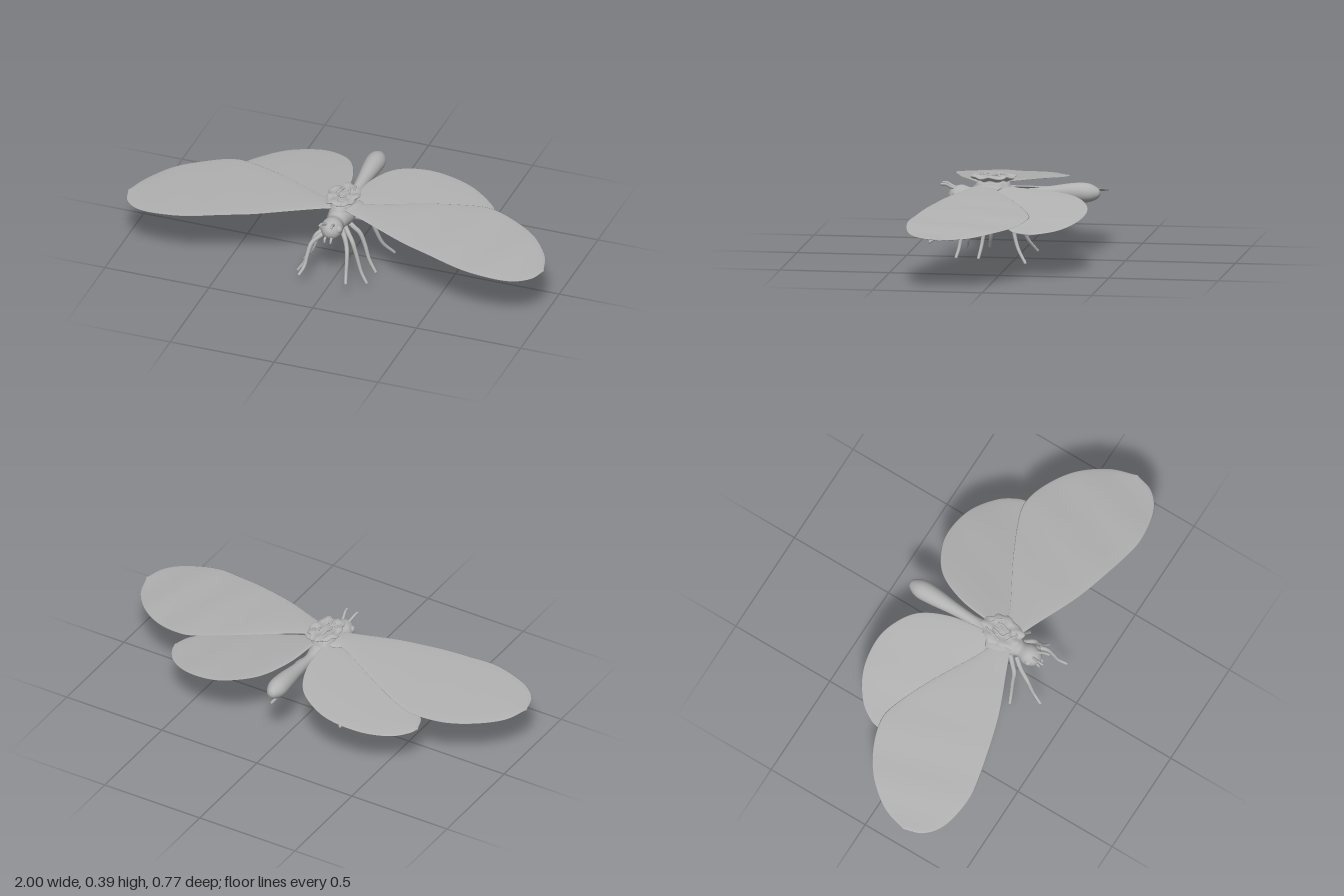
import * as THREE from 'three';

const grey = new THREE.MeshStandardMaterial({ color: 0xb2b2b2 });
grey.name = 'plain grey';
const V = (x, y, z) => new THREE.Vector3(x, y, z);

// Smooth closed skin over rings of points; the end rings shrink to a point
function loft(rows, cols, point) {
  const pos = [], idx = [];
  for (let i = 0; i <= rows; i++)
    for (let j = 0; j < cols; j++) pos.push(...point(i / rows, (j / cols) * Math.PI * 2));
  for (let i = 0; i < rows; i++)
    for (let j = 0; j < cols; j++) {
      const k = (j + 1) % cols;
      const a = i * cols + j, b = i * cols + k, c = a + cols, d = b + cols;
      idx.push(a, b, c, b, d, c);
    }
  const g = new THREE.BufferGeometry();
  g.setAttribute('position', new THREE.Float32BufferAttribute(pos, 3));
  g.setIndex(idx);
  g.computeVertexNormals();
  return g;
}

const spline = pts => new THREE.CatmullRomCurve3(pts.map(p => V(...p)), false, 'catmullrom', 0.5);

// Tapered round limb with a rounded end
function limb(points, r0, r1) {
  const curve = spline(points), g = new THREE.Group();
  const tube = new THREE.TubeGeometry(curve, 28, 1, 10, false);
  const p = tube.attributes.position;
  for (let i = 0; i < p.count; i++) {
    const t = Math.floor(i / 11) / 28, c = curve.getPointAt(t);
    const v = V(0, 0, 0).fromBufferAttribute(p, i).sub(c).multiplyScalar(r0 + (r1 - r0) * t).add(c);
    p.setXYZ(i, v.x, v.y, v.z);
  }
  g.add(new THREE.Mesh(tube, grey));
  const foot = new THREE.Mesh(new THREE.SphereGeometry(r1, 10, 8), grey);
  foot.position.copy(curve.getPoint(1));
  g.add(foot);
  return g;
}

// Thin wing between a front and a rear edge given as [x, z] from root to tip
function wing(front, rear, height) {
  const F = spline(front.map(([x, z]) => [x, 0, z])), R = spline(rear.map(([x, z]) => [x, 0, z]));
  return loft(56, 36, (t, a) => {
    const p = R.getPoint(t).lerp(F.getPoint(t), (1 - Math.cos(a)) / 2);
    const ripple = 0.002 * Math.sin(p.x * 24 + p.z * 7) * p.x;
    return [p.x, height(p.x) + ripple + 0.005 * Math.sin(a), p.z];
  });
}

export function createModel() {
  const model = new THREE.Group();
  const add = (name, obj, parent = model) => {
    const o = obj.isBufferGeometry ? new THREE.Mesh(obj, grey) : obj;
    o.name = name;
    parent.add(o);
    return o;
  };

  // Abdomen, thorax and head: [z, centre height, radius]
  const body = spline([
    [-0.386, 0.306, 0], [-0.375, 0.306, 0.022], [-0.33, 0.307, 0.043], [-0.26, 0.308, 0.042],
    [-0.15, 0.303, 0.03], [-0.05, 0.296, 0.024], [0, 0.29, 0.034], [0.06, 0.286, 0.054],
    [0.12, 0.285, 0.06], [0.18, 0.285, 0.047], [0.205, 0.283, 0.036], [0.245, 0.28, 0.05],
    [0.285, 0.28, 0.04], [0.304, 0.28, 0.018], [0.308, 0.28, 0]]);
  add('body', loft(84, 28, (t, a) => {
    const p = body.getPoint(t), r = Math.max(p.z, 0);
    return [r * Math.cos(a), p.y + r * Math.sin(a), p.x];
  }));

  // Ruffled crest on the back: [radius, height] rising from a waist to a flared rim
  const crest = spline([[0.085, 0.325, 0], [0.075, 0.343, 0], [0.068, 0.355, 0],
    [0.095, 0.366, 0], [0.1, 0.374, 0], [0.08, 0.381, 0], [0.045, 0.379, 0], [0, 0.382, 0]]);
  const crestGeo = loft(36, 64, (t, a) => {
    const p = crest.getPoint(t), flare = Math.sin(Math.PI * t);
    const r = Math.max(p.x, 0) * (1 + flare * (0.06 * Math.sin(5 * a) + 0.05 * Math.sin(11 * a + 1)));
    const y = p.y + 0.004 * flare * Math.sin(7 * a + 2) * Math.min(1, r / 0.05);
    return [0.72 * r * Math.cos(a), y, 0.105 - r * Math.sin(a)];
  });
  // The loft runs upward, so its rings turn from +x towards -z
  crestGeo.index.array.reverse();
  crestGeo.computeVertexNormals();
  const n = crestGeo.attributes.normal;
  if (n.getX(64 * 18) < 0) {
    crestGeo.index.array.reverse();
    crestGeo.computeVertexNormals();
  }
  add('backCrest', crestGeo);

  // Curled folds lying on the crest
  [[0.042, 0.068, 0.378, 0.3], [0.022, 0.04, 0.382, 2]].forEach(([rx, rz, y, phase]) => {
    const pts = [];
    for (let i = 0; i < 14; i++) {
      const a = phase + (i / 14) * 5.4, w = 1 + 0.14 * Math.sin(4 * a);
      pts.push([rx * w * Math.cos(a), y + 0.003 * Math.sin(3 * a), 0.1 - rz * w * Math.sin(a)]);
    }
    add('crestFold', limb(pts, 0.006, 0.005));
  });

  // Legs on one side, front to back: [x, y, z]
  const legs = [
    [[0.03, 0.245, 0.2], [0.06, 0.222, 0.24], [0.085, 0.204, 0.288], [0.095, 0.155, 0.317], [0.1, 0.11, 0.34], [0.112, 0.083, 0.376]],
    [[0.03, 0.25, 0.165], [0.06, 0.228, 0.195], [0.088, 0.208, 0.223], [0.11, 0.145, 0.229], [0.135, 0.07, 0.237], [0.165, 0.024, 0.248]],
    [[0.03, 0.25, 0.125], [0.06, 0.23, 0.13], [0.09, 0.2, 0.127], [0.113, 0.145, 0.128], [0.135, 0.08, 0.135], [0.17, 0.024, 0.145]],
    [[0.03, 0.25, 0.075], [0.06, 0.23, 0.045], [0.095, 0.204, 0.006], [0.115, 0.145, -0.007], [0.14, 0.07, -0.03], [0.18, 0.008, -0.07]]];

  const foreWing = wing(
    [[0.03, 0.17], [0.13, 0.21], [0.35, 0.3], [0.62, 0.37], [0.75, 0.384], [0.89, 0.355], [0.97, 0.29], [1, 0.2]],
    [[0.03, 0.1], [0.14, 0.06], [0.35, -0.055], [0.54, -0.14], [0.64, -0.15], [0.76, -0.11], [0.87, -0.035], [0.96, 0.08], [1, 0.2]],
    x => 0.334 - 0.098 * Math.pow(x, 1.3));
  const hindWing = wing(
    [[0.02, 0.09], [0.12, 0.09], [0.28, 0.05], [0.42, 0.01], [0.53, -0.03], [0.61, -0.08], [0.64, -0.155]],
    [[0.02, 0.03], [0.045, -0.14], [0.11, -0.28], [0.22, -0.355], [0.33, -0.375], [0.46, -0.35], [0.57, -0.28], [0.625, -0.205], [0.64, -0.155]],
    x => 0.328 - 0.187 * Math.pow(x, 1.05));

  for (const [side, s] of [['left', 1], ['right', -1]]) {
    const half = new THREE.Group();
    half.name = side + 'Side';
    half.scale.x = s;
    model.add(half);
    add(side + 'ForeWing', foreWing, half);
    add(side + 'HindWing', hindWing, half);
    legs.forEach((pts, i) => add(side + 'Leg' + (i + 1), limb(pts, 0.012, 0.007), half));

    // Short feelers and mouth parts
    add(side + 'Antenna', limb([[0.015, 0.312, 0.27], [0.02, 0.322, 0.295], [0.025, 0.333, 0.316], [0.028, 0.335, 0.335]], 0.007, 0.006), half);
    add(side + 'Palp', limb([[0.012, 0.26, 0.285], [0.015, 0.25, 0.305], [0.014, 0.238, 0.31]], 0.007, 0.005), half);

    const eye = add(side + 'Eye', new THREE.SphereGeometry(0.018, 16, 12), half);
    eye.position.set(0.036, 0.29, 0.266);

    // Swelling where the wings join the back
    const joint = add(side + 'WingJoint', new THREE.SphereGeometry(1, 20, 14), half);
    joint.scale.set(0.05, 0.012, 0.06);
    joint.position.set(0.055, 0.328, 0.115);
    joint.rotation.z = -0.12;
  }
  return model;
}
